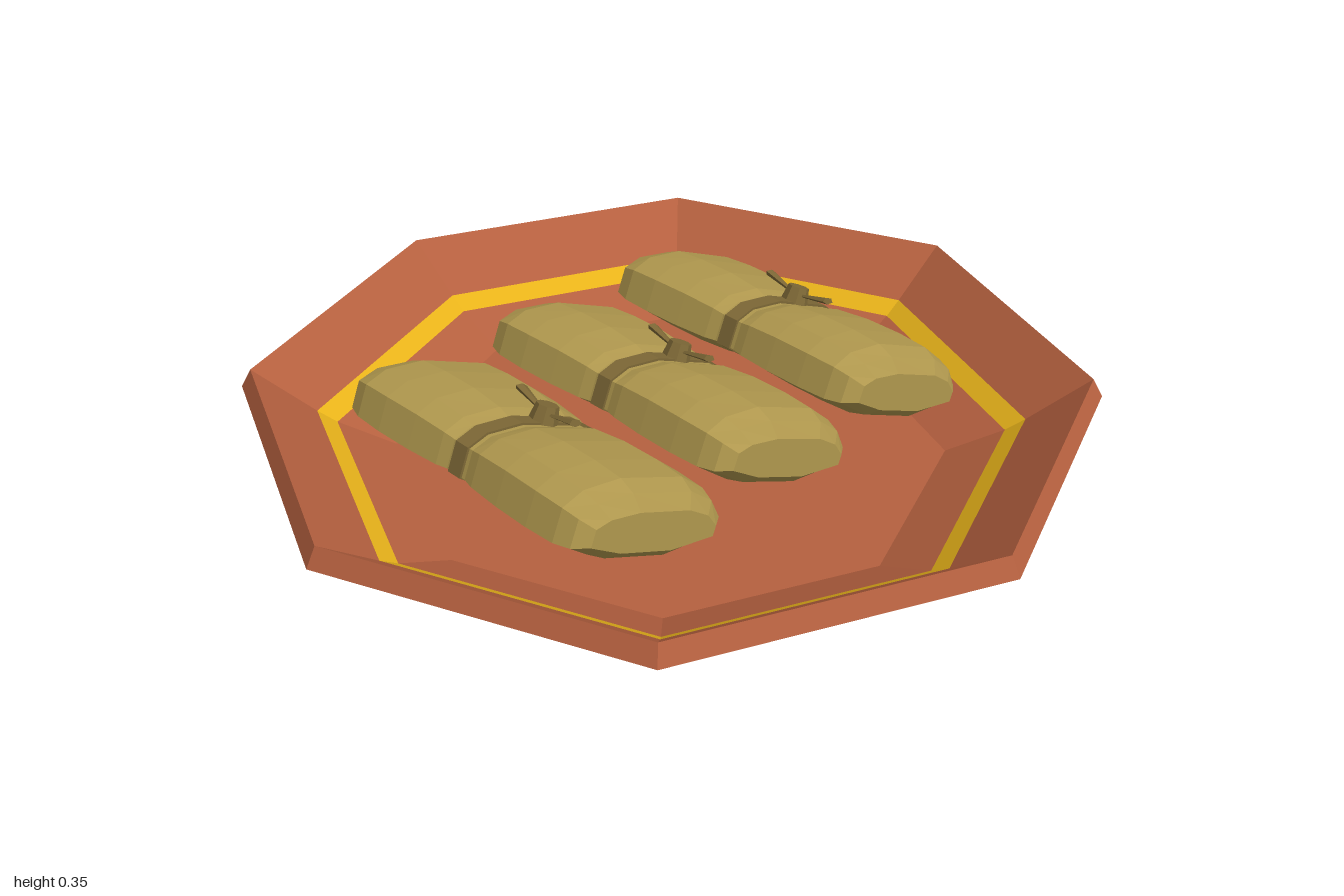
import * as THREE from 'three';

const mat = (color, side = THREE.FrontSide) =>
  new THREE.MeshStandardMaterial({ color, flatShading: true, side });
const CLAY = mat(0xb5603f), YELLOW = mat(0xe8b31a), HUSK = mat(0xb0984e), TIE = mat(0x7d6836);

function add(parent, name, geometry, material) {
  const mesh = new THREE.Mesh(geometry, material);
  mesh.name = name;
  parent.add(mesh);
  return mesh;
}

// Cross-section of a wrapped bundle, clockwise seen from +z
const SECTION = [
  [-0.225, 0.045], [-0.18, 0.083], [-0.08, 0.108], [0.11, 0.105], [0.19, 0.075],
  [0.235, 0.025], [0.235, -0.025], [0.08, -0.075], [-0.11, -0.07], [-0.225, -0.035],
];

// Loft the section along z; each ring is [z, width scale, thickness scale]
function loft(rings) {
  const n = SECTION.length, pos = [], idx = [];
  for (const [z, su, sv] of rings) for (const [u, v] of SECTION) pos.push(u * su, v * sv, z);
  for (let i = 0; i < rings.length - 1; i++) {
    for (let j = 0; j < n; j++) {
      const a = i * n + j, b = i * n + (j + 1) % n, c = b + n, d = a + n;
      idx.push(a, c, b, a, d, c);
    }
  }
  const last = (rings.length - 1) * n;
  for (let j = 1; j < n - 1; j++) {
    idx.push(0, j, j + 1);
    idx.push(last, last + j + 1, last + j);
  }
  const g = new THREE.BufferGeometry();
  g.setAttribute('position', new THREE.Float32BufferAttribute(pos, 3));
  g.setIndex(idx);
  g.computeVertexNormals();
  return g;
}

function makeBundle() {
  const bundle = new THREE.Group();

  // Pinched husk, mirrored about the tie
  const half = [[0.03, 0.92, 0.83], [0.06, 0.95, 0.92], [0.15, 0.98, 1],
    [0.25, 1, 1], [0.33, 0.99, 0.95], [0.37, 0.94, 0.8], [0.395, 0.8, 0.5]];
  const mirrored = half.map(([z, u, v]) => [-z, u, v]).reverse();
  add(bundle, 'husk', loft([...mirrored, ...half]), HUSK);

  // Tie band, knot and two loose tails
  add(bundle, 'tieBand', loft([[-0.02, 0.945, 0.88], [0.02, 0.945, 0.88]]), TIE);
  const knot = add(bundle, 'knot', new THREE.CylinderGeometry(0.026, 0.034, 0.04, 8), TIE);
  knot.position.set(0.004, 0.11, 0);
  for (const s of [-1, 1]) {
    const tail = add(bundle, 'tieTail', new THREE.CylinderGeometry(0.017, 0.007, 0.095, 5), TIE);
    tail.scale.z = 0.5;
    tail.position.set(0.004 - s * 0.008, 0.12, s * 0.06);
    tail.rotation.set(s * 1.38, 0, s * 0.12);
  }
  return bundle;
}

export function createModel() {
  const model = new THREE.Group();

  // Octagonal dish with a yellow stripe inside and out
  const dish = new THREE.Group();
  dish.name = 'dish';
  model.add(dish);
  const bands = [
    ['dishBase', CLAY, [[0, 0], [0.67, 0], [0.8, 0.06]]],
    ['outerStripe', YELLOW, [[0.8, 0.06], [0.85, 0.09]]],
    ['dishRim', CLAY, [[0.85, 0.09], [1, 0.2], [0.975, 0.245], [0.83, 0.135]]],
    ['innerStripe', YELLOW, [[0.83, 0.135], [0.785, 0.105]]],
    ['dishFloor', CLAY, [[0.785, 0.105], [0.65, 0.045], [0, 0.045]]],
  ];
  for (const [name, material, pts] of bands) {
    add(dish, name, new THREE.LatheGeometry(pts.map(p => new THREE.Vector2(...p)), 8), material);
  }

  // Three bundles leaning on each other
  for (let i = 0; i < 3; i++) {
    const bundle = makeBundle();
    bundle.name = 'bundle' + (i + 1);
    bundle.position.set(-0.42 + i * 0.4, 0.2, 0);
    bundle.rotation.z = -0.4;
    model.add(bundle);
  }
  return model;
}
